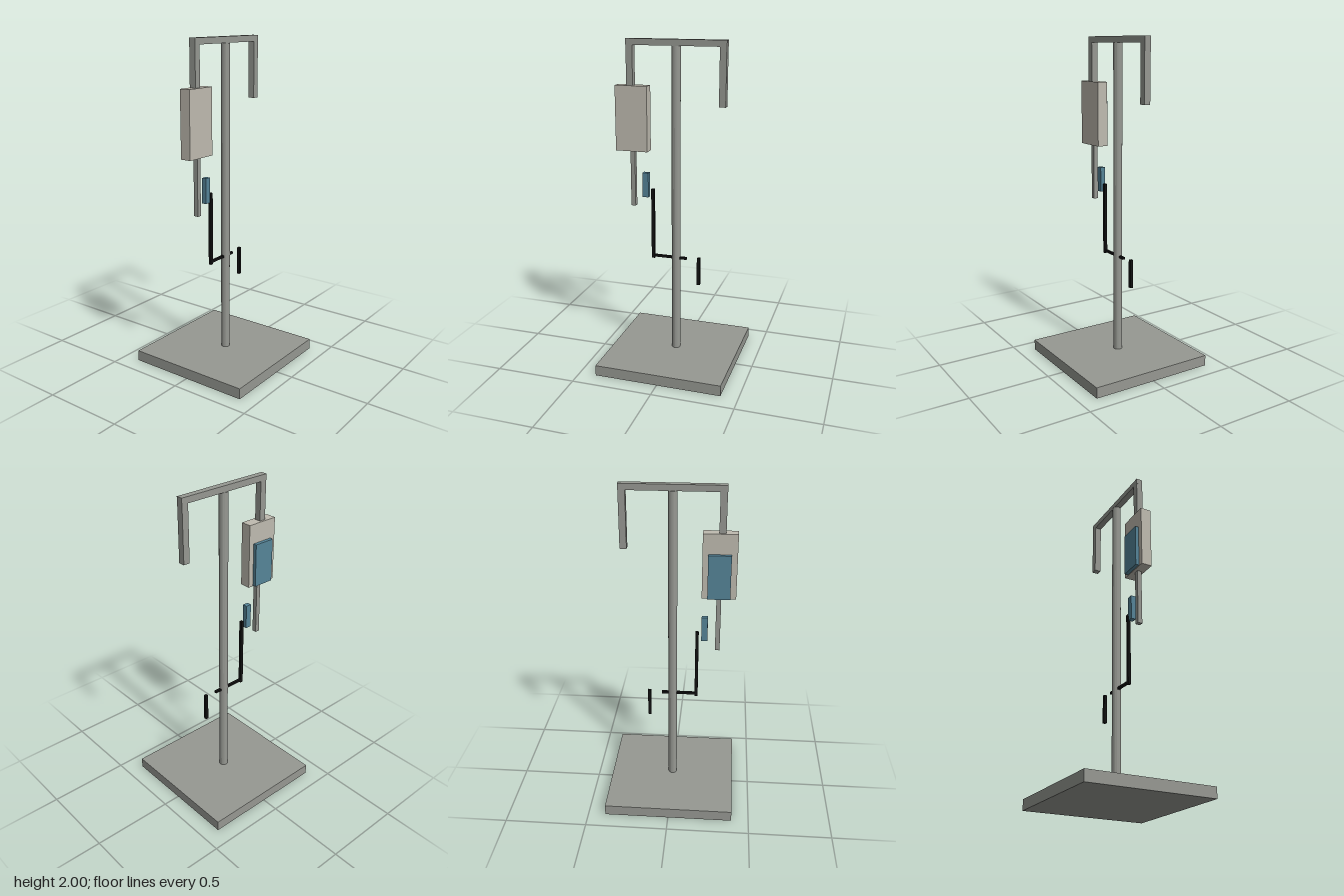
import * as THREE from 'three';

const material = (color) => new THREE.MeshStandardMaterial({ color, flatShading: true });

export function createModel() {
  const group = new THREE.Group();
  const metal = material(0x969892);
  const beige = material(0xbfbbb0);
  const blue = material(0x558498);
  const black = material(0x111111);

  const add = (name, geometry, mat, x, y, z) => {
    const mesh = new THREE.Mesh(geometry, mat);
    mesh.name = name;
    mesh.position.set(x, y, z);
    group.add(mesh);
    return mesh;
  };

  // Box given by its limits on each axis
  const box = (name, mat, [x0, x1], [y0, y1], [z0, z1]) =>
    add(name, new THREE.BoxGeometry(x1 - x0, y1 - y0, z1 - z0), mat,
      (x0 + x1) / 2, (y0 + y1) / 2, (z0 + z1) / 2);

  // Stand: square base, round pole and top bar
  box('base', metal, [-0.394, 0.394], [0, 0.066], [-0.394, 0.394]);
  add('pole', new THREE.CylinderGeometry(0.027, 0.027, 1.9, 16), metal, 0, 1.013, 0);
  box('topBar', metal, [-0.303, 0.303], [1.963, 2], [-0.02, 0.02]);

  // Hanging arms at both ends of the bar
  for (const [name, s] of [['leftArm', 1], ['rightArm', -1]]) {
    const x = s * 0.282;
    box(name, metal, [x - 0.02, x + 0.02], [1.625, 1.963], [-0.02, 0.02]);
  }

  // Bag with a panel on its back and an outlet below
  box('bag', beige, [-0.371, -0.171], [1.338, 1.73], [-0.033, 0.033]);
  box('backPanel', blue, [-0.337, -0.204], [1.343, 1.61], [-0.055, -0.033]);
  box('outlet', metal, [-0.285, -0.257], [0.993, 1.338], [-0.014, 0.014]);

  // Clamp and thin black line
  box('clamp', blue, [-0.21, -0.173], [1.053, 1.205], [-0.015, 0.015]);
  box('upperLine', black, [-0.157, -0.138], [0.66, 1.105], [-0.009, 0.009]);
  box('crossLine', black, [-0.157, 0.068], [0.669, 0.683], [-0.008, 0.008]);
  box('lowerLine', black, [0.136, 0.155], [0.512, 0.688], [-0.009, 0.009]);

  return group;
}
